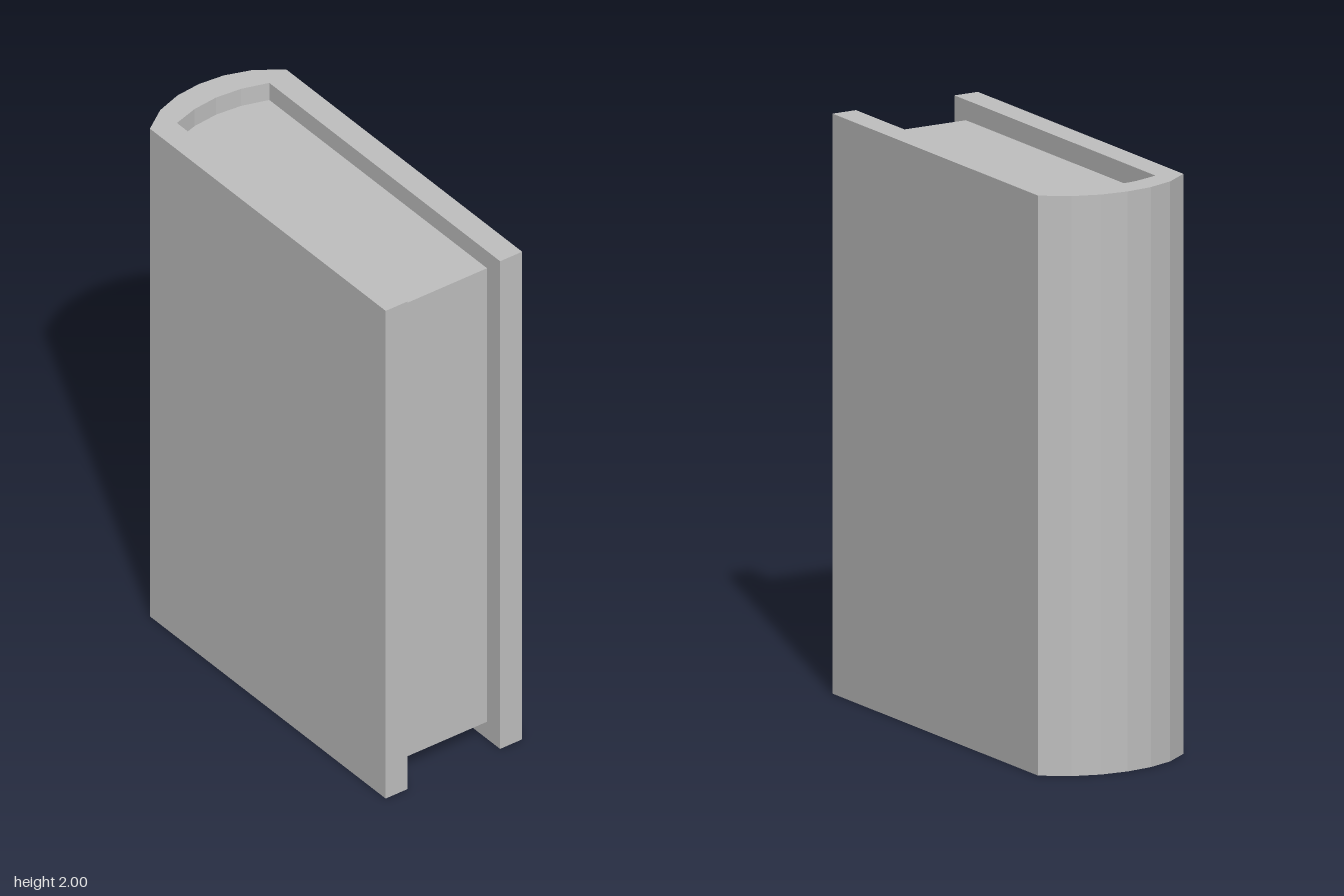
import * as THREE from 'three';

// Mirrors half a spine curve [x, z >= 0] (ending at z = 0) into the full curve
function mirrored(half) {
  return [...half, ...half.slice(0, -1).reverse().map(([x, z]) => [x, -z])];
}

// Upright prism from a plan outline, standing on y = bottom
function prism(name, outline, bottom, height, material) {
  const shape = new THREE.Shape(outline.map(([x, z]) => new THREE.Vector2(x, -z)));
  const geometry = new THREE.ExtrudeGeometry(shape, { depth: height, bevelEnabled: false });
  geometry.rotateX(-Math.PI / 2);
  const mesh = new THREE.Mesh(geometry, material);
  mesh.name = name;
  mesh.position.y = bottom;
  return mesh;
}

export function createModel() {
  const book = new THREE.Group();
  book.name = 'book';
  const grey = new THREE.MeshStandardMaterial({ color: 0xc0c0c0, flatShading: true });
  grey.name = 'grey';

  const edgeX = 0.71, pageX = 0.637;
  const outerZ = 0.285, innerZ = 0.193;
  const outerSpine = mirrored([[-0.605, outerZ], [-0.67, 0.193], [-0.703, 0.097], [-0.713, 0]]);
  const innerSpine = mirrored([[-0.577, innerZ], [-0.606, 0.097], [-0.616, 0]]);

  // Cover: two boards joined by a rounded, faceted spine
  const cover = [
    [edgeX, outerZ], ...outerSpine, [edgeX, -outerZ],
    [edgeX, -innerZ], ...innerSpine.slice().reverse(), [edgeX, innerZ],
  ];
  book.add(prism('cover', cover, 0, 2, grey));

  // Page block, recessed at the top, bottom and opening edge
  const pages = [[pageX, innerZ], ...innerSpine, [pageX, -innerZ]];
  book.add(prism('pages', pages, 0.07, 1.86, grey));

  return book;
}
